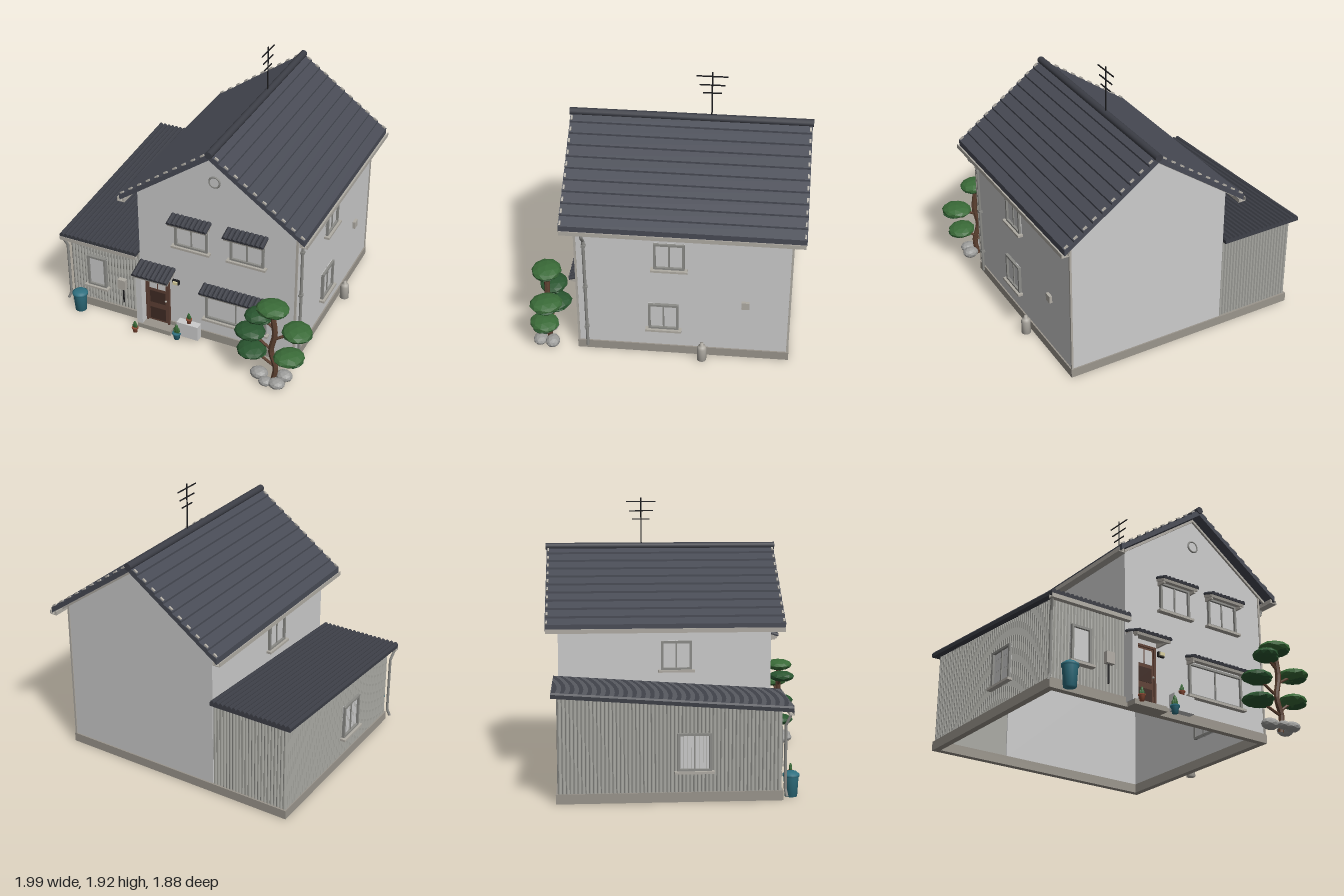
import * as THREE from 'three';

const mat = (color, extra = {}) => new THREE.MeshStandardMaterial({ color, ...extra });
const flat = { flatShading: true };
const M = {
  wall: mat(0xcccccc, { side: THREE.DoubleSide }), trim: mat(0xb0aca4), base: mat(0x9a958c),
  metal: mat(0xa8a8a2), frame: mat(0x8c8c88), glass: mat(0xcccccc), roof: mat(0x484b55),
  ridge: mat(0x3c3e46), black: mat(0x1c1c1e), door: mat(0x5e4034), panel: mat(0x3f2b24),
  teal: mat(0x2f7080), terracotta: mat(0x8a4a34), leaf: mat(0x2a5630, flat), leafLight: mat(0x3a6b38, flat),
  bark: mat(0x5c4030, flat), rock: mat(0x9c9c9a, flat), lamp: mat(0xd8cfa0),
};

function add(parent, name, geo, material, x = 0, y = 0, z = 0) {
  const m = new THREE.Mesh(geo, material);
  m.name = name;
  m.position.set(x, y, z);
  parent.add(m);
  return m;
}
const box = (p, name, w, h, d, material, x, y, z) => add(p, name, new THREE.BoxGeometry(w, h, d), material, x, y, z);
const cyl = (p, name, r0, r1, h, material, x, y, z, n = 16) => add(p, name, new THREE.CylinderGeometry(r0, r1, h, n), material, x, y, z);
const shapeOf = (pts) => new THREE.Shape(pts.map(([x, y]) => new THREE.Vector2(x, y)));
const extrude = (shape, depth) => new THREE.ExtrudeGeometry(shape, { depth, bevelEnabled: false });
const V = (x, y, z) => new THREE.Vector3(x, y, z);

// Ribbed sheet: wavy on +y, flat below, running along +z
function ribbed(width, length, pitch, amp, thick) {
  const n = Math.round(width / pitch), pts = [[width / 2, -thick], [-width / 2, -thick]];
  const wave = [0, 0.8, 1, 0.8];
  for (let i = 0; i <= n * 4; i++) pts.push([-width / 2 + (i / (n * 4)) * width, amp * wave[i % 4]]);
  return extrude(shapeOf(pts), length);
}

// Sash window facing +z, centred on the wall plane
function makeWindow(name, w, h, x, y, z, ry = 0, mullion = true) {
  const g = new THREE.Group(), t = 0.016;
  g.name = name;
  box(g, 'glass', w, h, 0.045, M.glass, 0, 0, -0.018);
  for (const s of [-1, 1]) {
    box(g, 'frameSide', t, h, 0.065, M.frame, s * (w - t) / 2, 0, -0.012);
    box(g, 'frameRail', w, t, 0.065, M.frame, 0, s * (h - t) / 2, -0.012);
  }
  if (mullion) box(g, 'mullion', 0.01, h, 0.055, M.frame, 0, 0, -0.015);
  box(g, 'sill', w + 0.04, 0.016, 0.045, M.trim, 0, -h / 2 - 0.006, 0.016);
  g.position.set(x, y, z);
  g.rotation.y = ry;
  return g;
}

// Small tiled canopy on the front wall
function makeHood(name, w, depth, x, y) {
  const g = new THREE.Group();
  g.name = name;
  const r = add(g, 'tiles', ribbed(w, depth, 0.033, 0.013, 0.01), M.ridge);
  const b = box(g, 'board', w - 0.01, 0.018, depth - 0.01, M.trim, 0, -0.02, depth / 2);
  const pivot = new THREE.Group();
  pivot.add(r, b);
  pivot.rotation.x = 0.3;
  g.add(pivot);
  for (const s of [-1, 1]) box(g, 'bracket', 0.014, 0.035, depth * 0.7, M.trim, s * (w / 2 - 0.02), -0.045, depth * 0.35);
  g.position.set(x, y, 0.6);
  return g;
}

function gutter(parent, name, len, w, h) {
  const a = w / 2, t = 0.006;
  return add(parent, name, extrude(shapeOf([[-a, h], [-a, 0], [a, 0], [a, h], [a - t, h], [a - t, t], [t - a, t], [t - a, h]]), len), M.trim);
}

function pipe(parent, name, pts, r, material) {
  const path = new THREE.CurvePath();
  for (let i = 1; i < pts.length; i++) path.add(new THREE.LineCurve3(pts[i - 1], pts[i]));
  return add(parent, name, new THREE.TubeGeometry(path, 48, r, 8), material);
}

export function createModel() {
  const root = new THREE.Group();
  const X0 = -0.39, X1 = 0.79, XA = -0.955, Z0 = -0.855, Z1 = 0.6, RX = 0.195;

  // Foundation ring, open underneath
  const ring = shapeOf([[-0.965, -0.61], [0.8, -0.61], [0.8, 0.865], [-0.965, 0.865]]);
  ring.holes.push(new THREE.Path([[-0.92, -0.565], [-0.92, 0.82], [0.755, 0.82], [0.755, -0.565]].map(([x, y]) => new THREE.Vector2(x, y))));
  add(root, 'foundation', extrude(ring, 0.065), M.base).rotation.x = -Math.PI / 2;

  // Main walls
  const gable = shapeOf([[X0, 0.06], [X1, 0.06], [X1, 1.1], [RX, 1.535], [X0, 1.11]]);
  add(root, 'frontWall', extrude(gable, 0.025), M.wall, 0, 0, Z1 - 0.025);
  add(root, 'backWall', extrude(gable, 0.025), M.wall, 0, 0, Z0);
  box(root, 'rightWall', 0.025, 1.04, Z1 - Z0 - 0.002, M.wall, X1 - 0.0125, 0.58, (Z0 + Z1) / 2);
  box(root, 'leftUpperWall', 0.025, 0.52, Z1 - Z0 - 0.002, M.wall, X0 + 0.0125, 0.85, (Z0 + Z1) / 2);
  for (const z of [Z0, Z1]) box(root, 'cornerTrim', 0.014, 1.03, 0.014, M.trim, X1, 0.58, z);

  // Main roof: two stepped slopes with overlapping courses
  const courses = 10, run = 0.675, rise = 0.485, zb = -0.94, zl = 1.63;
  for (const s of [-1, 1]) {
    const pts = [[0, 1.535], [0, 1.57]];
    for (let i = 1; i <= courses; i++) {
      const f = i / courses;
      pts.push([s * run * f, 1.57 - rise * f + 0.014], [s * run * f, 1.57 - rise * f]);
    }
    pts.push([s * run, 1.055]);
    const slope = add(root, 'roofSlope', extrude(shapeOf(pts), zl), M.roof, RX, 0, zb);
    for (let i = 0; i < courses; i++) for (const z of [zb + 0.012, zb + zl - 0.012]) {
      const f = (i + 0.75) / courses;
      box(root, 'vergeCap', 0.03, 0.012, 0.012, M.trim, RX + s * run * f, 1.586 - rise * f, z).rotation.z = -s * Math.atan2(rise, run);
    }
    // Verge boards against the gables
    for (const z of [Z1, Z0 - 0.015]) {
      add(root, 'vergeBoard', extrude(shapeOf([[0, 1.545], [s * 0.66, 1.07], [s * 0.66, 1.045], [0, 1.515]]), 0.015), M.trim, RX, 0, z);
    }
    gutter(root, 'roofGutter', zl - 0.01, 0.055, 0.03).position.set(RX + s * 0.668, 1.04, zb + 0.005);
    box(root, 'fascia', 0.012, 0.045, zl - 0.02, M.trim, RX + s * 0.655, 1.068, zb + zl / 2);
  }
  cyl(root, 'ridgeCap', 0.026, 0.026, 1.645, M.ridge, RX, 1.572, -0.125, 12).rotation.x = Math.PI / 2;

  // Aerial
  cyl(root, 'aerialMast', 0.005, 0.005, 0.36, M.black, RX, 1.74, -0.265, 8);
  for (const [y, l] of [[1.89, 0.21], [1.825, 0.17], [1.765, 0.125]]) box(root, 'aerialBar', 0.007, 0.007, l, M.black, RX, y, -0.265);

  // Annex: corrugated walls cut to follow the lean-to roof
  const roofY = (z) => 0.615 + (0.67 - z) * (0.11 / 1.56);
  const wallPanel = (name, w, ry, x, z) => {
    const geo = ribbed(w, 0.5, 0.025, 0.01, 0.008).rotateX(-Math.PI / 2).rotateY(ry).translate(x, 0.06, z);
    const p = geo.attributes.position;
    for (let i = 0; i < p.count; i++) if (p.getY(i) > 0.3) p.setY(i, roofY(p.getZ(i)) - 0.025);
    geo.computeVertexNormals();
    add(root, name, geo, M.metal);
  };
  wallPanel('annexFrontWall', X0 - XA, Math.PI, (X0 + XA) / 2, Z1 - 0.01);
  wallPanel('annexBackWall', X0 - XA, 0, (X0 + XA) / 2, Z0 + 0.01);
  wallPanel('annexLeftWall', Z1 - Z0 - 0.01, Math.PI / 2, XA + 0.005, (Z0 + Z1) / 2);
  const lean = add(root, 'annexRoof', ribbed(0.61, 1.564, 0.034, 0.016, 0.025), M.ridge, -0.695, roofY(-0.89), -0.89);
  lean.rotation.x = Math.atan2(0.11, 1.56);
  gutter(root, 'annexGutter', 0.61, 0.035, 0.028).rotation.y = Math.PI / 2;
  root.children.at(-1).position.set(-1, 0.57, 0.655);
  pipe(root, 'annexDownpipe', [V(-0.985, 0.57, 0.65), V(-0.97, 0.5, 0.62), V(-0.97, 0.08, 0.62), V(-0.988, 0.03, 0.63)], 0.01, M.frame);

  // Main downpipe
  pipe(root, 'downpipe', [V(0.868, 1.045, 0.54), V(0.868, 1.01, 0.54), V(0.805, 0.94, 0.54), V(0.805, 0.03, 0.54)], 0.011, M.frame);
  for (const y of [0.9, 0.55, 0.2]) box(root, 'pipeClip', 0.03, 0.016, 0.03, M.frame, 0.803, y, 0.54);

  // Windows and hoods
  const H = Math.PI / 2;
  root.add(
    makeWindow('upperLeftWindow', 0.25, 0.21, 0.02, 0.85, Z1), makeWindow('upperRightWindow', 0.25, 0.21, 0.435, 0.85, Z1),
    makeWindow('groundFloorWindow', 0.46, 0.235, 0.355, 0.31, Z1),
    makeWindow('sideUpperWindow', 0.21, 0.21, X1, 0.845, -0.035, H), makeWindow('sideLowerWindow', 0.21, 0.215, X1, 0.325, 0.005, H),
    makeWindow('leftUpperWindow', 0.21, 0.2, X0, 0.87, -0.05, -H),
    makeWindow('annexFrontWindow', 0.15, 0.25, -0.74, 0.33, Z1 + 0.005, 0, false),
    makeWindow('annexSideWindow', 0.22, 0.25, XA, 0.33, 0.03, -H),
    makeHood('upperHood', 0.3, 0.095, 0.02, 0.99), makeHood('upperHood', 0.3, 0.095, 0.435, 0.99),
    makeHood('lowerHood', 0.5, 0.095, 0.355, 0.475), makeHood('porchHood', 0.28, 0.145, -0.25, 0.53));

  // Round gable vent and square side vent
  add(root, 'gableVentRing', new THREE.TorusGeometry(0.038, 0.007, 8, 28), M.frame, RX, 1.32, Z1 + 0.003);
  cyl(root, 'gableVent', 0.036, 0.036, 0.012, M.wall, RX, 1.32, Z1, 28).rotation.x = H;
  box(root, 'sideVent', 0.025, 0.055, 0.055, M.trim, X1 + 0.008, 0.465, -0.555);

  // Door, porch pillar, step and lamp
  const door = new THREE.Group();
  door.name = 'frontDoor';
  box(door, 'leaf', 0.18, 0.41, 0.05, M.door, 0, 0.245, 0);
  for (const x of [-1, 1]) {
    box(door, 'jamb', 0.016, 0.42, 0.065, M.door, x * 0.085, 0.245, 0);
    box(door, 'pane', 0.058, 0.1, 0.056, M.glass, x * 0.034, 0.375, 0);
  }
  box(door, 'lintel', 0.186, 0.016, 0.065, M.door, 0, 0.448, 0);
  for (const y of [0.105, 0.25]) box(door, 'panel', 0.12, 0.1, 0.056, M.panel, 0, y, 0);
  add(door, 'knob', new THREE.SphereGeometry(0.008, 10, 8), M.trim, 0.068, 0.24, 0.035);
  door.position.set(-0.25, 0, Z1 - 0.01);
  root.add(door);
  box(root, 'porchPillar', 0.045, 0.47, 0.08, M.wall, -0.367, 0.265, 0.64);
  box(root, 'doorStep', 0.26, 0.035, 0.09, M.base, -0.25, 0.0175, 0.645);
  box(root, 'lampBack', 0.05, 0.035, 0.02, M.black, -0.105, 0.425, 0.608);
  box(root, 'lamp', 0.036, 0.022, 0.025, M.lamp, -0.105, 0.425, 0.618);

  // Meter box with conduit
  box(root, 'meterBox', 0.06, 0.08, 0.035, M.trim, -0.53, 0.29, 0.625);
  cyl(root, 'conduit', 0.006, 0.006, 0.2, M.black, -0.53, 0.22, 0.614, 8);

  // Barrel and gas bottle
  const barrel = [[0, 0], [0.042, 0], [0.05, 0.13], [0.057, 0.135], [0.057, 0.148], [0.05, 0.152], [0.035, 0.165], [0, 0.166]];
  const lathe = (name, pts, material, x, y, z, n = 20) => add(root, name, new THREE.LatheGeometry(pts.map(([a, b]) => new THREE.Vector2(a, b)), n), material, x, y, z);
  lathe('waterBarrel', barrel, M.teal, -0.86, 0, 0.675);
  lathe('gasBottle', [[0, 0], [0.033, 0], [0.033, 0.1], [0.026, 0.118], [0.012, 0.125], [0.012, 0.145], [0, 0.146]], M.trim, 0.845, 0, -0.265);

  // Planter block and potted plants
  box(root, 'planterBlock', 0.165, 0.115, 0.055, M.wall, 0.017, 0.0875, 0.665);
  const pot = (x, y, z, s, material) => {
    lathe('pot', [[0, 0], [0.7 * s, 0], [0.9 * s, 1.5 * s], [1.1 * s, 1.5 * s], [1.1 * s, 1.9 * s], [0, 1.8 * s]], material, x, y, z, 12);
    for (const [dx, h, r] of [[0, 2.4, 0.5], [-0.5, 1.4, 0.35], [0.5, 1.6, 0.35]]) {
      const p = add(root, 'cactus', new THREE.IcosahedronGeometry(1, 1), M.leafLight, x + dx * s, y + (1.7 + h / 2) * s, z);
      p.scale.set(r * s, h * s * 0.6, r * s);
    }
  };
  pot(-0.37, 0, 0.75, 0.022, M.terracotta);
  pot(0.02, 0.145, 0.665, 0.02, M.terracotta);
  pot(-0.065, 0, 0.695, 0.029, M.teal);

  // Cloud-pruned tree: bent trunk, branches and foliage pads
  const trunk = new THREE.CatmullRomCurve3([V(0.73, 0, 0.82), V(0.745, 0.12, 0.82), V(0.71, 0.25, 0.82), V(0.735, 0.4, 0.82), V(0.71, 0.58, 0.82)]);
  add(root, 'treeTrunk', new THREE.TubeGeometry(trunk, 14, 0.02, 7), M.bark);
  const pads = [[0.715, 0.605, 0.82, 0.115], [0.62, 0.53, 0.83, 0.1], [0.885, 0.45, 0.8, 0.115], [0.55, 0.36, 0.81, 0.11], [0.845, 0.245, 0.83, 0.11], [0.56, 0.205, 0.8, 0.115]];
  pads.forEach(([x, y, z, r], i) => {
    const start = trunk.getPoint(Math.max(0.1, (y - 0.06) / 0.58));
    add(root, 'branch', new THREE.TubeGeometry(new THREE.LineCurve3(start, V(x, y, z)), 1, 0.01, 6), M.bark);
    const pad = add(root, 'foliagePad', new THREE.IcosahedronGeometry(1, 1), i % 2 ? M.leaf : M.leafLight, x, y, z);
    pad.scale.set(r, 0.042, r * 0.9);
    pad.rotation.y = i;
    const under = add(root, 'foliageUnder', new THREE.IcosahedronGeometry(1, 1), M.leaf, x + 0.02, y - 0.018, z);
    under.scale.set(r * 0.75, 0.025, r * 0.75);
  });

  // Rocks round the trunk
  for (const [x, z, w, h] of [[0.63, 0.83, 0.065, 0.04], [0.78, 0.88, 0.06, 0.035], [0.8, 0.79, 0.06, 0.04], [0.7, 0.885, 0.05, 0.03]]) {
    const r = add(root, 'rock', new THREE.IcosahedronGeometry(1, 1), M.rock, x, h, z);
    r.scale.set(w, h, w * 0.85);
  }
  return root;
}
